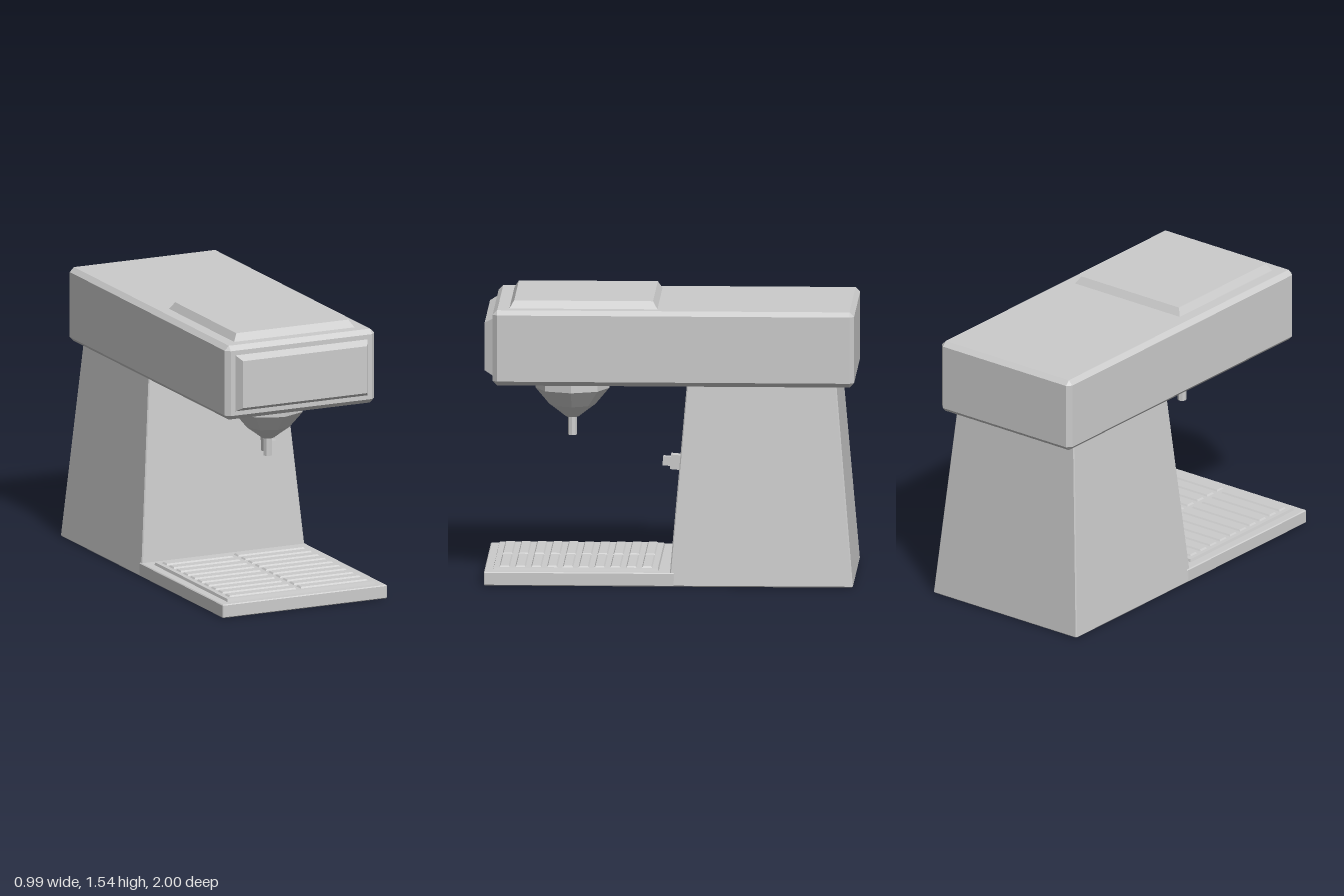
import * as THREE from 'three';

const casing = new THREE.MeshStandardMaterial({ color: 0xcccccc });
casing.name = 'grey casing';

function addMesh(parent, name, geometry) {
  const mesh = new THREE.Mesh(geometry, casing);
  mesh.name = name;
  parent.add(mesh);
  return mesh;
}

// Loft through stacked rectangles with chamfered corners.
// Each section is { y, x: half width, z0, z1, c: corner chamfer }.
function loft(sections) {
  const rings = sections.map(({ y, x, z0, z1, c }) => [
    [x - c, z1], [x, z1 - c], [x, z0 + c], [x - c, z0],
    [c - x, z0], [-x, z0 + c], [-x, z1 - c], [c - x, z1],
  ].map(([px, pz]) => [px, y, pz]));
  const pos = [];
  for (let i = 0; i < rings.length - 1; i++) {
    for (let j = 0; j < 8; j++) {
      const k = (j + 1) % 8, a = rings[i], b = rings[i + 1];
      pos.push(...a[j], ...a[k], ...b[k], ...a[j], ...b[k], ...b[j]);
    }
  }
  const low = rings[0], high = rings[rings.length - 1];
  for (let j = 1; j < 7; j++) {
    pos.push(...high[0], ...high[j], ...high[j + 1]);
    pos.push(...low[0], ...low[j + 1], ...low[j]);
  }
  const g = new THREE.BufferGeometry();
  g.setAttribute('position', new THREE.Float32BufferAttribute(pos, 3));
  g.computeVertexNormals();
  return g;
}

// Box with all its edges chamfered, given by its limits.
function chamferBox(x, y0, y1, z0, z1, c) {
  const inner = { x: x - c, z0: z0 + c, z1: z1 - c, c: 0 };
  const outer = { x, z0, z1, c };
  return loft([
    { ...inner, y: y0 }, { ...outer, y: y0 + c },
    { ...outer, y: y1 - c }, { ...inner, y: y1 },
  ]);
}

// Plate whose top is inset on every side.
function bevelPlate(x, y0, y1, z0, z1, inset) {
  return loft([
    { y: y0, x, z0, z1, c: 0 },
    { y: y1, x: x - inset, z0: z0 + inset, z1: z1 - inset, c: 0 },
  ]);
}

export function createModel() {
  const group = new THREE.Group();
  group.name = 'coffee machine';

  // Tapered rear column and flat base
  addMesh(group, 'column', loft([
    { y: 0, x: 0.49, z0: -0.99, z1: 0, c: 0.005 },
    { y: 0.006, x: 0.495, z0: -0.996, z1: 0, c: 0.006 },
    { y: 1.1, x: 0.403, z0: -0.903, z1: -0.095, c: 0.006 },
  ]));
  addMesh(group, 'base', chamferBox(0.495, 0, 0.075, -0.03, 1, 0.005));

  // Overhanging head with front panel and top lid
  addMesh(group, 'head', chamferBox(0.45, 1.085, 1.497, -1, 0.955, 0.025));
  const panel = addMesh(group, 'frontPanel', bevelPlate(0.398, 0, 0.045, -0.156, 0.156, 0.025));
  panel.rotation.x = Math.PI / 2;
  panel.position.set(0, 1.29, 0.955);
  addMesh(group, 'lid', bevelPlate(0.363, 1.495, 1.537, 0.065, 0.868, 0.026));

  // Drip tray with two columns of slats
  const tray = new THREE.Group();
  tray.name = 'dripTray';
  group.add(tray);
  addMesh(tray, 'trayPlate', bevelPlate(0.447, 0.07, 0.09, 0.055, 0.955, 0.006));
  for (let i = 0; i < 10; i++) {
    for (const side of [-1, 1]) {
      const z = 0.12 + i * 0.0856;
      const slat = addMesh(tray, 'slat', bevelPlate(0.203, 0.088, 0.098, z - 0.03, z + 0.03, 0.008));
      slat.position.x = side * 0.215;
    }
  }

  // Eight-sided brew head and spout
  const profile = [[0, 0.845], [0.035, 0.85], [0.08, 0.885], [0.125, 0.918], [0.2, 1.007], [0.2, 1.1]]
    .map(([r, y]) => new THREE.Vector2(r, y));
  const brewGeometry = new THREE.LatheGeometry(profile, 8).toNonIndexed();
  brewGeometry.computeVertexNormals();
  addMesh(group, 'brewHead', brewGeometry).position.z = 0.54;
  const spoutGeometry = new THREE.CylinderGeometry(0.024, 0.024, 0.11, 8).toNonIndexed();
  spoutGeometry.computeVertexNormals();
  addMesh(group, 'spout', spoutGeometry).position.set(0, 0.805, 0.54);

  // Switch leaning with the column front
  const control = new THREE.Group();
  control.name = 'switch';
  control.position.set(0.283, 0.65, -0.057);
  control.rotation.x = -0.087;
  group.add(control);
  addMesh(control, 'switchBase', new THREE.BoxGeometry(0.065, 0.08, 0.07)).position.z = 0.02;
  addMesh(control, 'switchButton', new THREE.BoxGeometry(0.036, 0.05, 0.05)).position.z = 0.072;

  return group;
}
